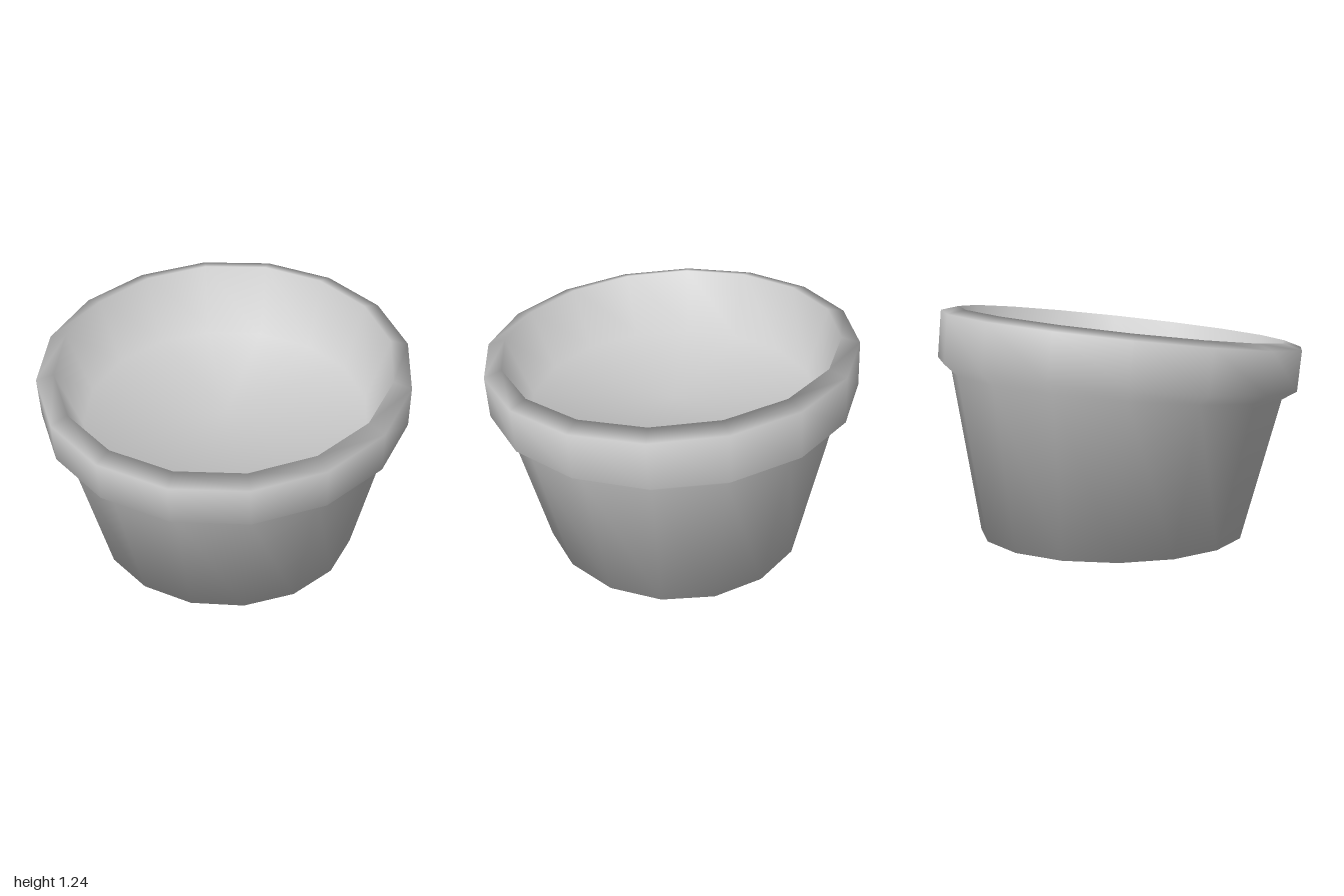
import * as THREE from 'three';
import { mergeVertices } from 'three/addons/utils/BufferGeometryUtils.js';

// Bends the upright pot forward: rings tilt and slide more the higher they sit.
function bend(geometry) {
  const p = geometry.attributes.position;
  for (let i = 0; i < p.count; i++) {
    const y = p.getY(i), z = p.getZ(i);
    p.setY(i, y * (1 - 0.094 * z));
    p.setZ(i, z - 0.045 + 0.046 * y * y);
  }
}

// Sixteen-sided turned shape with one smooth surface and no seam.
function turned(name, profile) {
  const points = profile.map(([r, y]) => new THREE.Vector2(r, y));
  let geometry = new THREE.LatheGeometry(points, 16);
  geometry.deleteAttribute('normal');
  geometry.deleteAttribute('uv');
  geometry = mergeVertices(geometry, 1e-4);
  bend(geometry);
  geometry.computeVertexNormals();
  const material = new THREE.MeshStandardMaterial({ color: 0xcccccc });
  const mesh = new THREE.Mesh(geometry, material);
  mesh.name = name;
  return mesh;
}

export function createModel() {
  const model = new THREE.Group();
  model.name = 'flowerPot';
  model.add(turned('pot', [
    [0, 0], [0.735, 0],            // base
    [0.915, 0.83],                 // tapered body
    [0.99, 0.885], [0.99, 1.12],   // collar
    [0.895, 1.148],                // lip
    [0.78, 0.79], [0, 0.79],       // inner wall and raised floor
  ]));
  return model;
}
